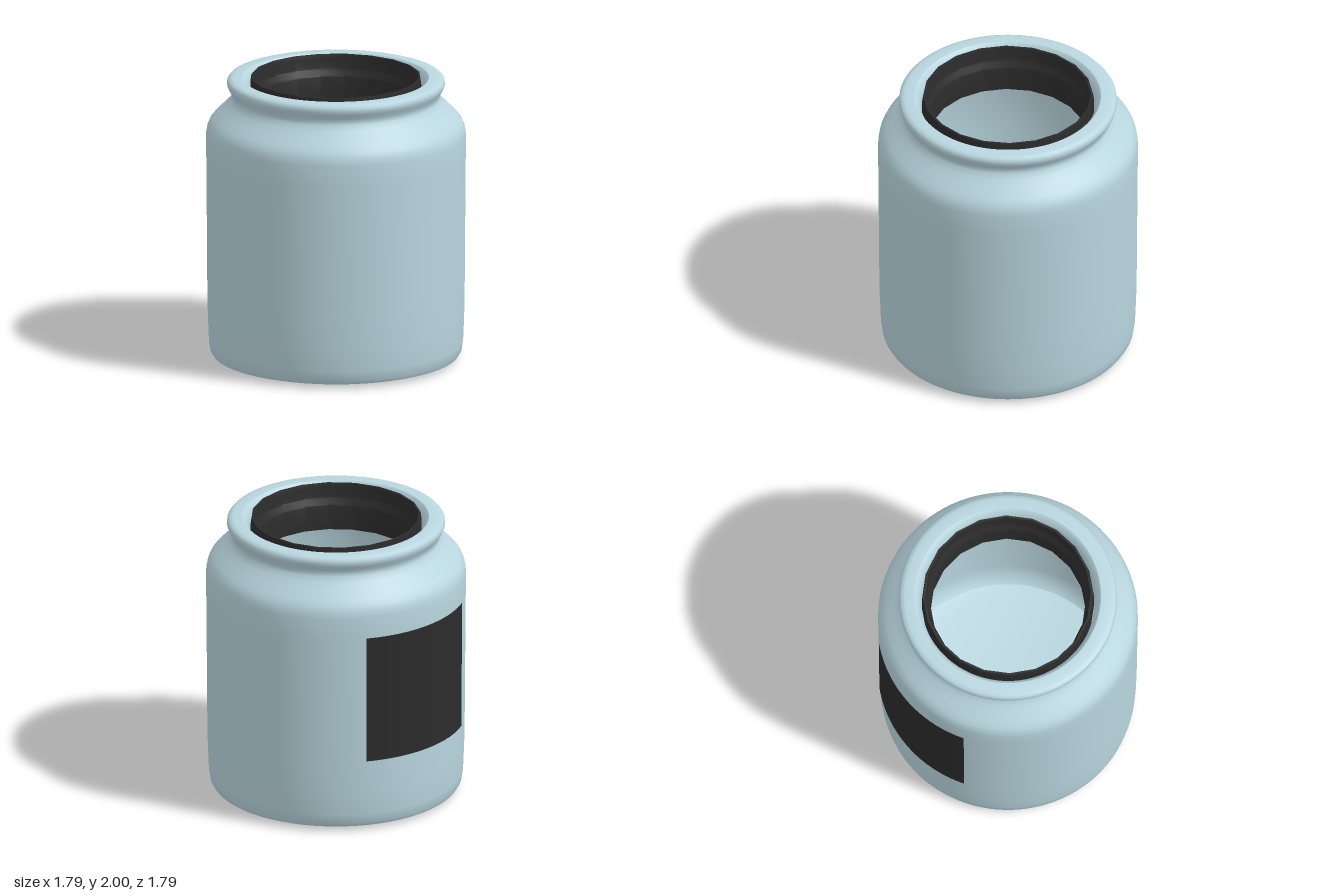
import * as THREE from 'three';
import { toCreasedNormals } from 'three/addons/utils/BufferGeometryUtils.js';

const glass = new THREE.MeshStandardMaterial({ color: 0xb9d6df });
const dark = new THREE.MeshStandardMaterial({ color: 0x2b2b2b, side: THREE.DoubleSide });

// Revolve [radius, height] pairs, keeping sharp edges sharp
function turned(name, profile, sides, material) {
  const points = profile.map(([r, y]) => new THREE.Vector2(r, y));
  const geometry = toCreasedNormals(new THREE.LatheGeometry(points, sides), 0.65);
  const mesh = new THREE.Mesh(geometry, material);
  mesh.name = name;
  return mesh;
}

export function createModel() {
  const group = new THREE.Group();
  group.name = 'jar';

  const outside = [
    // gently bulging base
    [0, 0.005], [0.3, 0.01], [0.56, 0.021], [0.82, 0.026],
    // rounded foot and nearly straight wall
    [0.85, 0.035], [0.865, 0.06], [0.875, 0.13], [0.882, 0.3], [0.886, 0.55],
    [0.89, 1.1], [0.893, 1.45], [0.893, 1.6],
    // shoulder
    [0.885, 1.645], [0.868, 1.682], [0.84, 1.715], [0.79, 1.765], [0.745, 1.81],
    [0.72, 1.845], [0.715, 1.865],
    // lip
    [0.722, 1.89], [0.74, 1.92], [0.75, 1.945], [0.748, 1.97], [0.735, 1.985],
    [0.71, 1.993], [0.64, 1.993],
  ];
  const inside = [
    // mouth
    [0.63, 1.985], [0.605, 1.94], [0.598, 1.9], [0.598, 1.84],
    // under the shoulder, down the wall and across the floor
    [0.64, 1.8], [0.74, 1.73], [0.81, 1.66], [0.845, 1.58], [0.845, 1.1],
    [0.835, 0.3], [0.82, 0.13], [0.78, 0.08], [0.7, 0.06], [0, 0.055],
  ];
  group.add(turned('jarBody', [...outside, ...inside], 96, glass));

  // Stepped seal lining the mouth
  group.add(turned('mouthSeal', [
    [0.535, 1.67], [0.575, 1.67], [0.59, 1.74], [0.592, 1.95], [0.585, 2],
    [0.57, 2], [0.562, 1.97], [0.562, 1.9], [0.552, 1.885], [0.545, 1.865],
    [0.535, 1.85], [0.535, 1.67],
  ], 20, dark));

  // Curved label on one side of the wall
  const label = new THREE.Mesh(
    new THREE.CylinderGeometry(0.9, 0.896, 0.92, 32, 1, true,
      THREE.MathUtils.degToRad(242), THREE.MathUtils.degToRad(61)),
    dark,
  );
  label.name = 'label';
  label.position.y = 0.99;
  group.add(label);

  return group;
}
